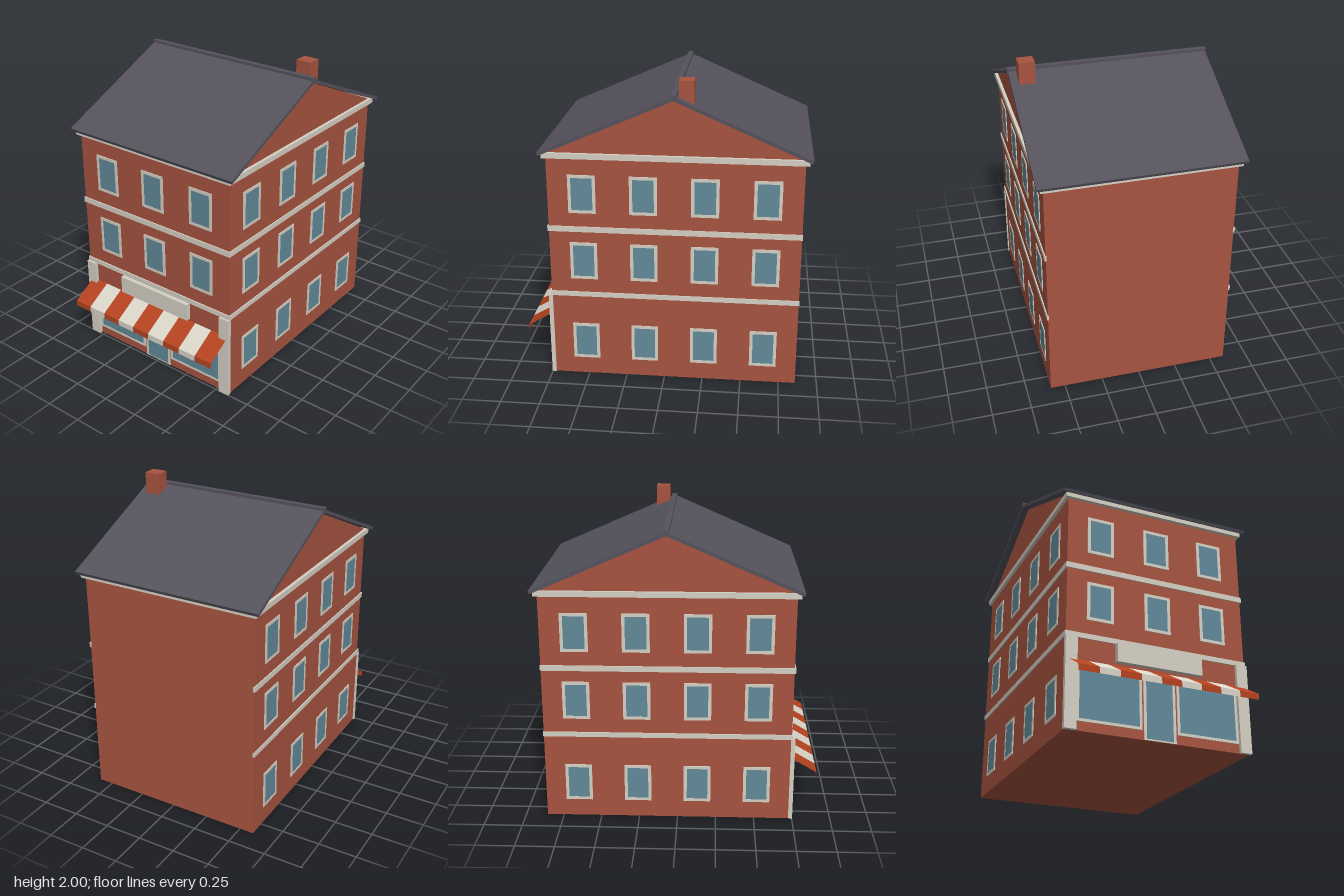
import * as THREE from 'three';

export function createModel() {
  const root = new THREE.Group();
  root.name = 'shopHouse';

  const material = (name, color, extra = {}) => {
    const m = new THREE.MeshStandardMaterial({ color, ...extra });
    m.name = name;
    return m;
  };
  const brick = material('brick', 0xa85440);
  const stone = material('stone', 0xd6d1c5);
  const slate = material('slate', 0x55525c);
  const glass = material('glass', 0x628a9a);
  const redCloth = material('redCloth', 0xb5431f, { side: THREE.DoubleSide });
  const creamCloth = material('creamCloth', 0xdad5c9, { side: THREE.DoubleSide });

  const add = (parent, name, geometry, mat) => {
    const mesh = new THREE.Mesh(geometry, mat);
    mesh.name = name;
    parent.add(mesh);
    return mesh;
  };
  // Box given by its limits on each axis
  const box = (name, mat, [x0, x1], [y0, y1], [z0, z1], parent = root) => {
    const mesh = add(parent, name, new THREE.BoxGeometry(x1 - x0, y1 - y0, z1 - z0), mat);
    mesh.position.set((x0 + x1) / 2, (y0 + y1) / 2, (z0 + z1) / 2);
    return mesh;
  };
  // Profile of [z, y] points extruded along x, centred on x = 0
  const prism = (name, mat, points, width) => {
    const shape = new THREE.Shape(points.map(([z, y]) => new THREE.Vector2(-z, y)));
    const geometry = new THREE.ExtrudeGeometry(shape, { depth: width, bevelEnabled: false });
    geometry.translate(0, 0, -width / 2).rotateY(Math.PI / 2);
    return add(root, name, geometry, mat);
  };

  const W = 0.595, FRONT = 0.731, BACK = -0.859, RIDGE = -0.064;

  // Brick body and gables
  box('walls', brick, [-W, W], [0, 1.52], [BACK, FRONT]);
  prism('gables', brick, [[FRONT + 0.01, 1.53], [RIDGE, 1.888], [BACK - 0.01, 1.53]], W * 2);

  // Stone cornice and floor bands (the back wall has no bands)
  box('cornice', stone, [-0.615, 0.615], [1.503, 1.538], [-0.883, 0.755]);
  for (const [y0, y1] of [[0.567, 0.599], [1.017, 1.053]]) {
    box('frontBand', stone, [-0.602, 0.602], [y0, y1], [FRONT - 0.01, FRONT + 0.008]);
    for (const s of [-1, 1]) {
      const xs = [s * 0.59, s * 0.602].sort((a, b) => a - b);
      box('sideBand', stone, xs, [y0, y1], [BACK - 0.003, FRONT]);
    }
  }

  // Roof slabs, ridge cap and chimney
  for (const s of [-1, 1]) {
    prism('roofSlope', slate, [
      [RIDGE, 1.912], [RIDGE + s * 0.84, 1.545], [RIDGE + s * 0.832, 1.525], [RIDGE, 1.889],
    ], 1.28);
  }
  box('ridgeCap', slate, [-0.645, 0.645], [1.893, 1.923], [RIDGE - 0.017, RIDGE + 0.017]);
  box('chimney', brick, [0.488, 0.59], [1.75, 2], [-0.184, -0.092]);

  // Framed pane lying in the xy plane and facing +z
  const pane = (name, w, h, border) => {
    const group = new THREE.Group();
    group.name = name;
    const outline = (a, b, Type) => new Type().moveTo(-a, -b).lineTo(a, -b).lineTo(a, b).lineTo(-a, b).closePath();
    const frame = outline(w / 2, h / 2, THREE.Shape);
    frame.holes.push(outline(w / 2 - border, h / 2 - border, THREE.Path));
    add(group, 'frame', new THREE.ExtrudeGeometry(frame, { depth: 0.005, bevelEnabled: false }), stone);
    add(group, 'glass', new THREE.BoxGeometry(w - border * 2, h - border * 2, 0.004), glass).position.z = 0.002;
    root.add(group);
    return group;
  };

  // House windows: two rows in front, three on each side
  const rows = [1.27, 0.818, 0.243];
  rows.forEach((y, row) => {
    if (row < 2) {
      for (const x of [-0.378, 0, 0.378]) pane('frontWindow', 0.174, 0.252, 0.02).position.set(x, y, FRONT);
    }
    for (const z of [0.513, 0.128, -0.257, -0.642]) {
      for (const s of [-1, 1]) {
        const win = pane('sideWindow', 0.174, 0.252, 0.02);
        win.position.set(s * W, y, z);
        win.rotation.y = s * Math.PI / 2;
      }
    }
  });

  // Shop front: corner pillars, display windows, door and blank sign board
  for (const s of [-1, 1]) {
    const xs = [s * 0.527, s * 0.602].sort((a, b) => a - b);
    box('cornerPillar', stone, xs, [0, 0.57], [FRONT - 0.005, 0.753]);
    pane('displayWindow', 0.41, 0.345, 0.017).position.set(s * 0.319, 0.23, FRONT);
  }
  pane('door', 0.208, 0.39, 0.018).position.set(0, 0.196, FRONT);
  box('doorGlassFoot', glass, [-0.086, 0.086], [0.01, 0.03], [FRONT, FRONT + 0.006]);
  box('signBoard', stone, [-0.28, 0.28], [0.447, 0.565], [FRONT, 0.763]);

  // Striped awning: thin cloth with a hanging front edge
  const awning = new THREE.Group();
  awning.name = 'awning';
  root.add(awning);
  const stripes = 9, stripeWidth = 1.16 / stripes;
  const topZ = FRONT, topY = 0.43, edgeZ = 0.9, edgeY = 0.33, hemY = 0.29;
  for (let i = 0; i < stripes; i++) {
    const mat = i % 2 ? creamCloth : redCloth;
    const x = -0.58 + (i + 0.5) * stripeWidth;
    const run = edgeZ - topZ, drop = topY - edgeY;
    const slope = add(awning, 'awningStripe', new THREE.PlaneGeometry(stripeWidth, Math.hypot(run, drop)), mat);
    slope.position.set(x, (topY + edgeY) / 2, (topZ + edgeZ) / 2);
    slope.rotation.x = -Math.atan2(run, drop);
    const hem = add(awning, 'awningHem', new THREE.PlaneGeometry(stripeWidth, edgeY - hemY), mat);
    hem.position.set(x, (edgeY + hemY) / 2, edgeZ);
  }

  return root;
}
